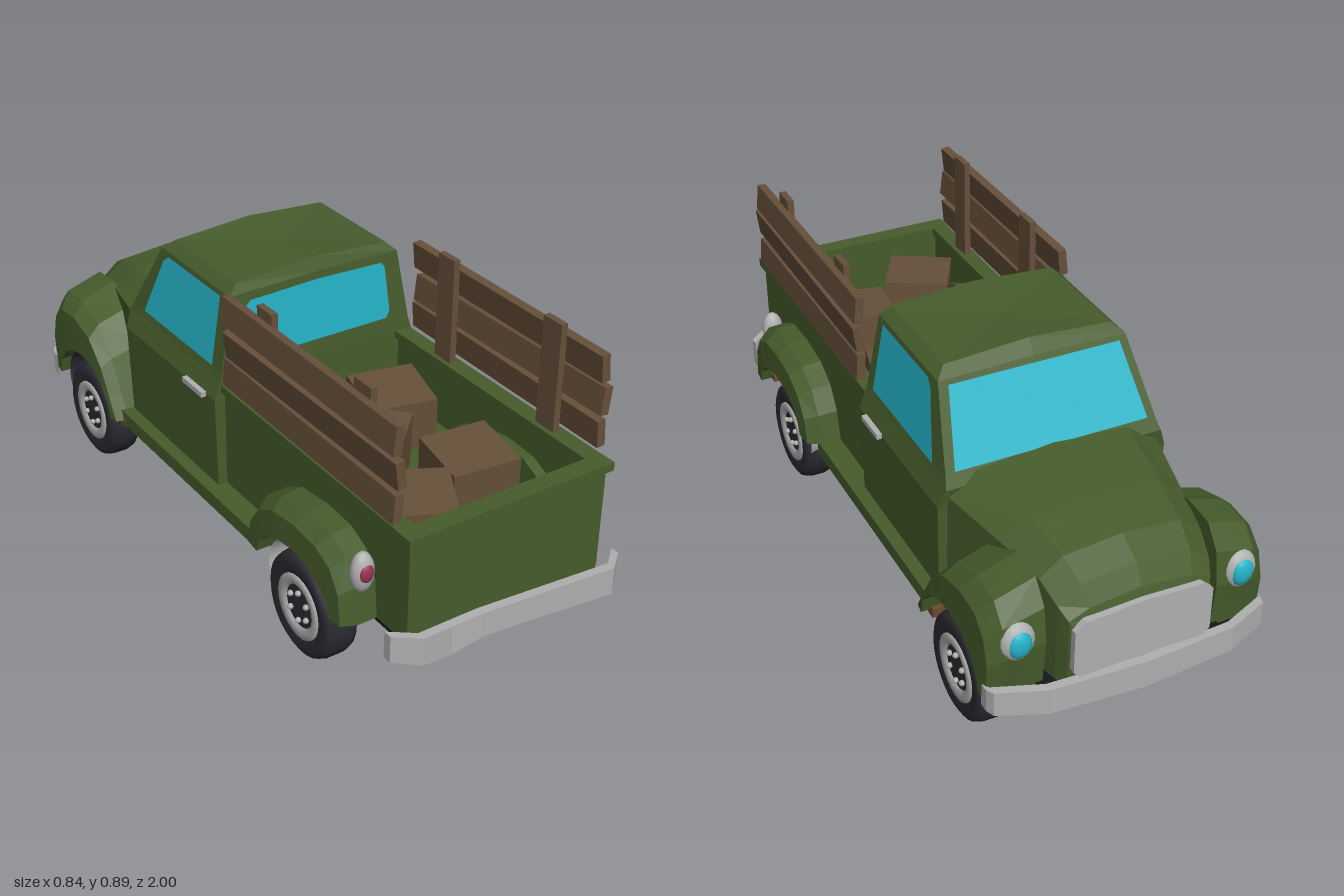
import * as THREE from 'three';

const mat = (name, color, side = THREE.FrontSide) => {
  const m = new THREE.MeshStandardMaterial({ color, side });
  m.name = name;
  return m;
};

export function createModel() {
  const truck = new THREE.Group();
  truck.name = 'pickupTruck';
  const green = mat('green paint', 0x465c2c, THREE.DoubleSide);
  const grey = mat('grey metal', 0xb0b0b0, THREE.DoubleSide);
  const glass = mat('blue glass', 0x25b3c8, THREE.DoubleSide);
  const wood = mat('brown wood', 0x66503a);
  const black = mat('black underside', 0x161618);
  const rubber = mat('dark rubber', 0x2b2b33, THREE.DoubleSide);
  const red = mat('red lamp', 0x963450);
  const rust = mat('rust', 0x6e4a30);

  const add = (name, geo, material, pos = [0, 0, 0], parent = truck) => {
    const m = new THREE.Mesh(geo, material);
    m.name = name;
    m.position.set(...pos);
    parent.add(m);
    return m;
  };
  const box = (name, material, x0, x1, y0, y1, z0, z1, parent) =>
    add(name, new THREE.BoxGeometry(x1 - x0, y1 - y0, z1 - z0), material,
      [(x0 + x1) / 2, (y0 + y1) / 2, (z0 + z1) / 2], parent);

  // Faceted skin through closed rings, capped with fans
  const loft = (rings) => {
    const out = [], n = rings[0].length;
    const tri = (...p) => p.forEach((q) => out.push(...q));
    for (let i = 0; i < rings.length - 1; i++)
      for (let j = 0; j < n; j++) {
        const k = (j + 1) % n, a = rings[i], b = rings[i + 1];
        tri(a[j], a[k], b[k]);
        tri(a[j], b[k], b[j]);
      }
    [rings[0], rings[rings.length - 1]].forEach((r, e) => {
      const c = [0, 1, 2].map((d) => r.reduce((s, p) => s + p[d], 0) / n);
      r.forEach((p, j) => (e ? tri(c, p, r[(j + 1) % n]) : tri(c, r[(j + 1) % n], p)));
    });
    const g = new THREE.BufferGeometry();
    g.setAttribute('position', new THREE.Float32BufferAttribute(out, 3));
    g.computeVertexNormals();
    return g;
  };
  // Thin flat pane from an outline
  const pane = (name, pts) => {
    const out = [];
    for (let i = 1; i < pts.length - 1; i++) out.push(...pts[0], ...pts[i], ...pts[i + 1]);
    const g = new THREE.BufferGeometry();
    g.setAttribute('position', new THREE.Float32BufferAttribute(out, 3));
    g.computeVertexNormals();
    add(name, g, glass);
  };

  // Cab: [y, half width, back z, front z, crown]
  const cabRows = [[0.21, 0.34, 0.05, -0.47, 0], [0.53, 0.345, 0.05, -0.48, 0], [0.585, 0.325, 0.05, -0.49, 0],
    [0.61, 0.318, 0.048, -0.475, 0], [0.83, 0.28, 0.035, -0.35, 0.005], [0.858, 0.25, 0.02, -0.32, 0.017]];
  add('cab', loft(cabRows.map(([y, w, b, f, c]) => [
    [w, y, b], [0, y + c, b], [-w, y, b], [-w, y, f], [0, y + c, f], [w, y, f]])), green);

  // Windows lie just proud of the cab's sloped faces
  const up = (y, a, b) => a + (b - a) * (y - 0.61) / 0.22;
  const front = (x, y) => [x, y, up(y, -0.475, -0.35) - 0.006];
  const back = (x, y) => [x, y, up(y, 0.048, 0.035) + 0.006];
  pane('windscreen', [front(-0.29, 0.625), front(0.29, 0.625), front(0.255, 0.82), front(-0.255, 0.82)]);
  pane('rearWindow', [[-0.235, 0.63], [0.235, 0.63], [0.248, 0.65], [0.232, 0.795], [0.218, 0.808],
    [0, 0.815], [-0.218, 0.808], [-0.232, 0.795], [-0.248, 0.65]].map(([x, y]) => back(x, y)));
  for (const s of [1, -1])
    pane('sideWindow', [[0, 0.615], [-0.005, 0.82], [-0.3, 0.82], [-0.325, 0.8], [-0.4, 0.615]]
      .map(([z, y]) => [s * (up(y, 0.318, 0.28) + 0.005), y, z]));

  // Hood: [z, half width, shoulder y, top y]
  const hoodRows = [[-0.46, 0.32, 0.56, 0.63], [-0.7, 0.265, 0.54, 0.61], [-0.84, 0.235, 0.52, 0.585],
    [-0.91, 0.22, 0.48, 0.545], [-0.945, 0.205, 0.45, 0.49], [-0.955, 0.195, 0.43, 0.46]];
  add('hood', loft(hoodRows.map(([z, w, s, t]) => [
    [w, 0.23, z], [w, s, z], [w * 0.72, t - 0.015, z], [0, t, z],
    [-w * 0.72, t - 0.015, z], [-w, s, z], [-w, 0.23, z]])), green);
  const grille = new THREE.Shape([[-0.17, 0.27], [0.17, 0.27], [0.2, 0.3], [0.2, 0.43], [0.17, 0.455],
    [0, 0.465], [-0.17, 0.455], [-0.2, 0.43], [-0.2, 0.3]].map((p) => new THREE.Vector2(...p)));
  add('grille', new THREE.ExtrudeGeometry(grille, { depth: 0.02, bevelEnabled: false }), grey, [0, 0, -0.97]);

  // Cargo bed
  box('bedFloor', green, -0.3, 0.3, 0.255, 0.36, 0.04, 0.92);
  box('tailgate', green, -0.31, 0.31, 0.225, 0.56, 0.9, 0.93);
  box('tailgateRail', green, -0.325, 0.325, 0.55, 0.575, 0.89, 0.945);
  for (const s of [-1, 1]) {
    const x = s * 0.298;
    box('bedSide', green, x - 0.014, x + 0.014, 0.25, 0.56, 0.04, 0.93);
    box('bedRail', green, x - 0.026, x + 0.026, 0.553, 0.575, 0.04, 0.94);
    box('runningBoard', green, s * 0.345 - 0.035, s * 0.345 + 0.035, 0.205, 0.25, -0.49, 0.33);
    box('doorHandle', grey, s * 0.352 - 0.008, s * 0.352 + 0.008, 0.522, 0.538, -0.11, 0);
    box('rustPatch', rust, s * 0.36 - 0.022, s * 0.36 + 0.022, 0.2, 0.23, -0.52, -0.46);
    box('rustPatch', rust, s * 0.36 - 0.022, s * 0.36 + 0.022, 0.248, 0.27, 0.71, 0.76);
  }

  // Wooden side fences
  for (const s of [-1, 1]) {
    for (const z of [0.26, 0.71])
      box('fencePost', wood, s * 0.297 - 0.01, s * 0.297 + 0.01, 0.57, 0.895, z - 0.036, z + 0.036);
    for (let i = 0; i < 3; i++) {
      const y = 0.637 + i * 0.094, shift = [0, 0.008, -0.005][i];
      const slat = box('fenceSlat', wood, s * 0.321 - 0.013, s * 0.321 + 0.013, y - 0.04, y + 0.04, 0.085 + shift, 0.89 + shift);
      slat.rotation.set([0.006, -0.008, 0.004][i], 0, s * [0.08, -0.12, 0.1][i]);
    }
  }

  // Loose crates: [x, z, turn, top]
  for (const [x, z, turn, top] of [[-0.06, 0.395, 0.75, 0.53], [0.13, 0.235, -0.25, 0.52],
    [0.115, 0.615, -0.15, 0.52], [-0.14, 0.72, -0.5, 0.53]]) {
    const c = box('crate', wood, x - 0.1, x + 0.1, 0.35, top, z - 0.1, z + 0.1);
    c.rotation.set(0.05, turn, 0.04);
  }

  // Fenders: outer outline [z, y], swept round a wheel arch
  const fender = (name, outline, cz, baseY, sign, xOut, rise) => {
    const rings = outline.map(([z, y], i) => {
      const a = Math.PI * i / (outline.length - 1);
      const az = cz + sign * 0.175 * Math.cos(a), ay = baseY + (0.36 - baseY) * Math.sin(a);
      const mix = (t) => [ay + (y - ay) * t, az + (z - az) * t];
      const lift = rise * Math.sin(a);
      return [[0.25, ay, az], [xOut, ay, az], [xOut - 0.005, ...mix(0.72)],
        [xOut - 0.045, ...mix(1)], [0.25, y + lift, z]];
    });
    for (const s of [1, -1])
      add(name, loft(rings.map((r) => r.map(([x, y, z]) => [s * x, y, z]))), green);
  };
  fender('frontFender', [[-0.9, 0.23], [-0.915, 0.36], [-0.9, 0.45], [-0.85, 0.505], [-0.75, 0.51],
    [-0.64, 0.475], [-0.56, 0.39], [-0.505, 0.29], [-0.46, 0.22]], -0.68, 0.22, -1, 0.41, 0.04);
  fender('rearFender', [[0.8, 0.25], [0.79, 0.36], [0.75, 0.43], [0.68, 0.46], [0.57, 0.465],
    [0.45, 0.45], [0.375, 0.41], [0.33, 0.34], [0.31, 0.25]], 0.56, 0.25, 1, 0.418, 0.01);

  // Wheel wells
  for (const [cz, m] of [[-0.68, rubber], [0.56, grey]])
    for (const s of [-1, 1]) {
      const lining = new THREE.CylinderGeometry(0.172, 0.172, 0.1, 14, 1, true, 0, Math.PI);
      lining.rotateZ(Math.PI / 2);
      lining.rotateX(-Math.PI / 2);
      const well = add('wheelWellLining', lining, m, [s * 0.33, 0.21, cz]);
      well.scale.y = 0.8;
      if (lining.boundingBox === null) lining.computeBoundingBox();
      if (lining.boundingBox.max.y < 0.01) well.rotation.x = Math.PI;
    }
  for (const s of [-1, 1]) box('wellBackPlate', rubber, s * 0.28 - 0.004, s * 0.28 + 0.004, 0.21, 0.37, -0.85, -0.51);

  // Lamps
  const ball = new THREE.SphereGeometry(1, 14, 10);
  const lamp = (name, m, pos, size) => add(name, ball, m, pos).scale.set(...size);
  for (const s of [-1, 1]) {
    lamp('tailLampRim', grey, [s * 0.35, 0.4, 0.785], [0.034, 0.06, 0.028]);
    lamp('tailLamp', red, [s * 0.35, 0.405, 0.8], [0.023, 0.03, 0.018]);
    lamp('headLampRim', grey, [s * 0.325, 0.4, -0.898], [0.05, 0.06, 0.03]);
    lamp('headLamp', glass, [s * 0.325, 0.4, -0.915], [0.034, 0.042, 0.02]);
  }

  // Bumpers: [x, z, bottom, top], thickness towards the body
  const bumper = (name, rows, t) => add(name, loft(rows.map(([x, z, b, h]) =>
    [[x, b, z], [x, h, z], [x, h, z - t], [x, b, z - t]])), grey);
  bumper('rearBumper', [[-0.37, 0.94, 0.225, 0.305], [-0.3, 0.985, 0.215, 0.3], [-0.2, 0.97, 0.195, 0.285],
    [-0.12, 0.99, 0.23, 0.305], [0, 0.995, 0.225, 0.3], [0.31, 1, 0.195, 0.28], [0.37, 0.95, 0.19, 0.275]], 0.026);
  bumper('frontBumper', [[-0.41, -0.9, 0.2, 0.27], [-0.4, -0.925, 0.2, 0.275], [-0.27, -0.98, 0.2, 0.28],
    [0, -1, 0.2, 0.285], [0.27, -0.98, 0.2, 0.28], [0.4, -0.925, 0.2, 0.275], [0.41, -0.9, 0.2, 0.27]], -0.026);

  // Underside
  box('underbody', black, -0.335, 0.335, 0.198, 0.215, -0.49, 0.37);
  box('frontUnderbody', black, -0.27, 0.27, 0.205, 0.24, -0.92, -0.48);
  box('rearUnderbody', black, -0.29, 0.29, 0.21, 0.256, 0.36, 0.91);

  // Axles
  for (const z of [-0.68, 0.55]) {
    const axle = add('axle', new THREE.CylinderGeometry(0.033, 0.033, 0.6, 8), grey, [0, 0.155, z]);
    axle.rotation.z = Math.PI / 2;
  }
  const diff = add('differential', new THREE.OctahedronGeometry(0.07), grey, [-0.02, 0.145, 0.56]);
  diff.scale.set(1, 0.95, 1);

  // Wheels: tyre, rim ring, hub and bolts about the x axis
  const tyre = new THREE.LatheGeometry([[0.095, -0.045], [0.13, -0.052], [0.148, -0.042], [0.155, -0.02],
    [0.155, 0.02], [0.148, 0.042], [0.13, 0.052], [0.095, 0.045]].map((p) => new THREE.Vector2(...p)), 28);
  const rim = new THREE.LatheGeometry([[0.062, -0.04], [0.07, -0.05], [0.096, -0.05], [0.1, -0.03],
    [0.1, 0.03], [0.096, 0.05], [0.07, 0.05], [0.062, 0.04]].map((p) => new THREE.Vector2(...p)), 24);
  const hub = new THREE.CylinderGeometry(0.068, 0.068, 0.084, 18);
  const bolt = new THREE.SphereGeometry(0.009, 8, 6);
  for (const z of [-0.68, 0.55])
    for (const s of [-1, 1]) {
      const wheel = new THREE.Group();
      wheel.name = 'wheel';
      wheel.position.set(s * 0.343, 0.155, z);
      wheel.rotation.z = Math.PI / 2;
      truck.add(wheel);
      add('tyre', tyre, rubber, [0, 0, 0], wheel);
      add('rim', rim, grey, [0, 0, 0], wheel);
      add('hub', hub, rubber, [0, 0, 0], wheel);
      for (let i = 0; i < 6; i++) {
        const a = (i / 6) * Math.PI * 2;
        for (const e of [-1, 1])
          add('bolt', bolt, grey, [Math.cos(a) * 0.044, e * 0.047, Math.sin(a) * 0.044], wheel);
      }
    }
  return truck;
}
